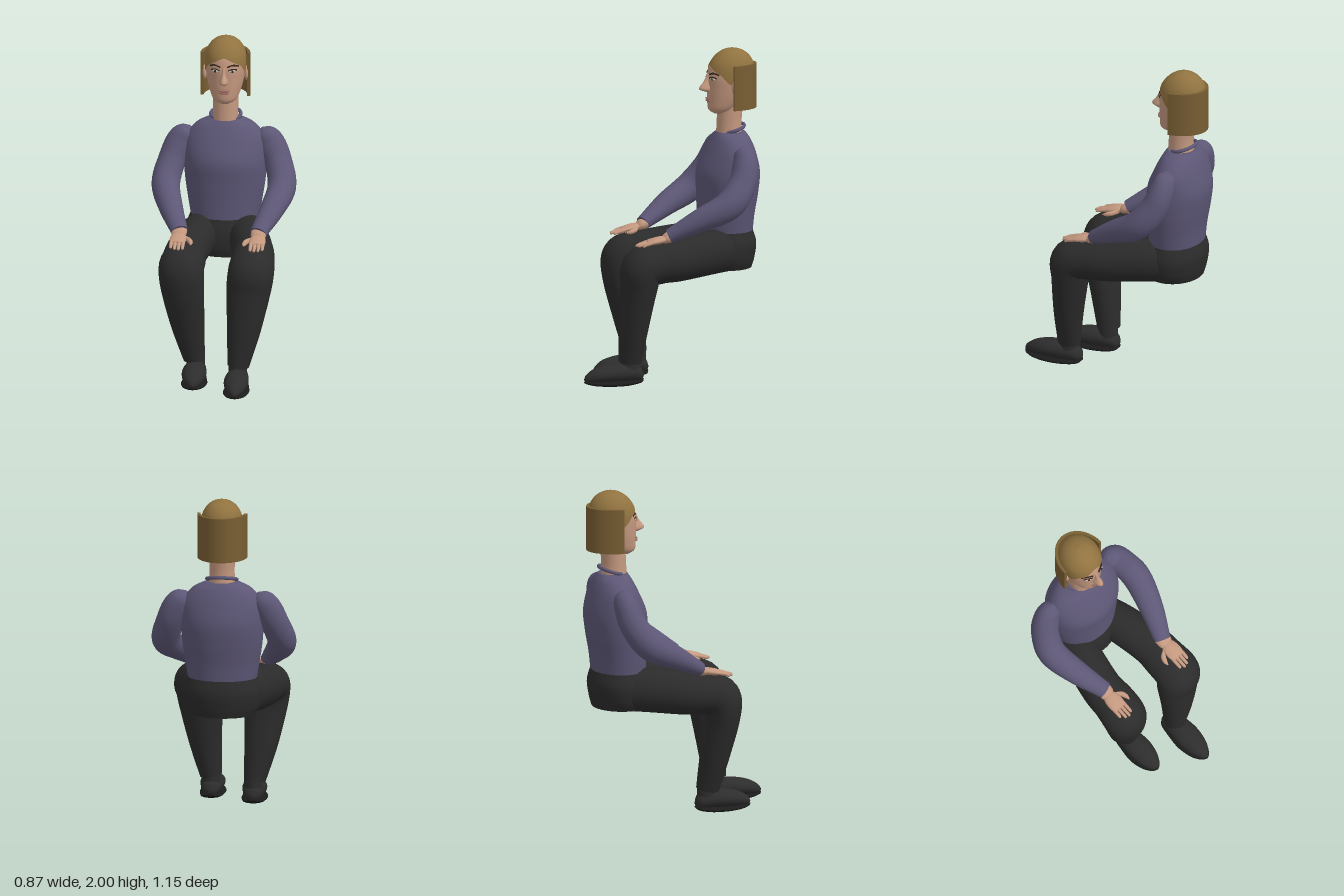
import * as THREE from 'three';

const mat = (name, color, side = THREE.FrontSide) => {
  const m = new THREE.MeshStandardMaterial({ color, side });
  m.name = name;
  return m;
};
const M = {
  skin: mat('skin', 0xc4987f),
  sweater: mat('sweater', 0x5d5776),
  trousers: mat('trousers', 0x2b2b2b),
  shoe: mat('shoe', 0x2d2d2d),
  sole: mat('sole', 0x1c1c1c),
  hair: mat('hair', 0x917340, THREE.DoubleSide),
  backHair: mat('back hair', 0x785e33),
  lips: mat('lips', 0x96665a),
  eyeWhite: mat('eye white', 0xc9c2ba),
  dark: mat('brow and iris', 0x33271d),
};

// smooth curves through rows of [x, y, z, radiusA, radiusB]
const curves = (rows) => [
  new THREE.CatmullRomCurve3(rows.map((r) => new THREE.Vector3(r[0], r[1], r[2])), false, 'catmullrom', 0.5),
  new THREE.CatmullRomCurve3(rows.map((r) => new THREE.Vector3(r[3], r[4], 0)), false, 'catmullrom', 0.5),
];

// closed loft of elliptical rings; axis fixes the ring plane, otherwise rings follow the path
function loft(rows, axis = null, sides = 32, steps = 6) {
  const [path, radii] = curves(rows);
  const count = (rows.length - 1) * steps;
  const pos = [], idx = [];
  for (let i = 0; i <= count; i++) {
    const t = i / count;
    const c = path.getPoint(t), r = radii.getPoint(t);
    const T = axis ? axis.clone() : path.getTangent(t);
    const A = new THREE.Vector3(1, 0, 0).addScaledVector(T, -T.x).normalize();
    const B = new THREE.Vector3().crossVectors(T, A);
    for (let j = 0; j < sides; j++) {
      const a = (j / sides) * Math.PI * 2;
      const p = c.clone()
        .addScaledVector(A, Math.max(r.x, 0.001) * Math.cos(a))
        .addScaledVector(B, Math.max(r.y, 0.001) * Math.sin(a));
      pos.push(p.x, p.y, p.z);
      if (i < count) {
        const k = (j + 1) % sides, o = i * sides, n = o + sides;
        idx.push(o + j, o + k, n + j, o + k, n + k, n + j);
      }
    }
  }
  // flat end caps with their own vertices
  for (const end of [0, 1]) {
    const base = pos.length / 3, o = end * count * sides * 3;
    for (let j = 0; j < sides * 3; j++) pos.push(pos[o + j]);
    const c = path.getPoint(end);
    pos.push(c.x, c.y, c.z);
    for (let j = 0; j < sides; j++) {
      const k = (j + 1) % sides;
      idx.push(base + sides, base + (end ? j : k), base + (end ? k : j));
    }
  }
  return build(pos, idx);
}

function build(pos, idx) {
  const g = new THREE.BufferGeometry();
  g.setAttribute('position', new THREE.Float32BufferAttribute(pos, 3));
  g.setIndex(idx);
  g.computeVertexNormals();
  return g;
}

const X = new THREE.Vector3(1, 0, 0), Y = new THREE.Vector3(0, 1, 0), Z = new THREE.Vector3(0, 0, 1);
const mirror = (rows, s) => rows.map(([x, ...rest]) => [x * s, ...rest]);
// level row given as [height, half width, front z, back z]
const level = ([y, rx, f, b]) => [0, y, (f + b) / 2, rx, (f - b) / 2];

const HEAD = [
  [1.603, 0.03, -0.3, -0.37], [1.63, 0.072, -0.265, -0.43], [1.69, 0.098, -0.26, -0.5],
  [1.76, 0.114, -0.26, -0.535], [1.83, 0.12, -0.26, -0.545], [1.9, 0.114, -0.278, -0.54],
  [1.95, 0.088, -0.315, -0.512], [1.98, 0.05, -0.36, -0.467], [1.992, 0.001, -0.41, -0.412],
].map(level);
const [headPath, headRadii] = curves(HEAD);

// head cross-section at a height
function headAt(y) {
  let lo = 0, hi = 1;
  for (let i = 0; i < 24; i++) {
    const m = (lo + hi) / 2;
    if (headPath.getPoint(m).y < y) lo = m; else hi = m;
  }
  const r = headRadii.getPoint(lo);
  return { z: headPath.getPoint(lo).z, rx: Math.max(r.x, 0.001), rz: Math.max(r.y, 0.001) };
}
const faceZ = (x, y) => {
  const h = headAt(y);
  return h.z + h.rz * Math.sqrt(1 - (x / h.rx) ** 2);
};

// hair cap with a peaked hairline over the forehead
function capGeometry(sides = 64, rows = 20) {
  const pos = [], idx = [];
  for (let j = 0; j < sides; j++) {
    const a = (j / sides) * Math.PI * 2, s = Math.abs(Math.sin(a)), c = Math.cos(a);
    const edge = c > 0 ? 1.9 - 0.075 * s ** 1.3 - 0.045 * Math.max(0, s - 0.8) / 0.2 : 1.78 + 0.1 * c;
    for (let i = 0; i <= rows; i++) {
      const y = edge + (1.992 - edge) * Math.sin((i / rows) * Math.PI / 2);
      const h = headAt(y);
      pos.push(Math.sin(a) * h.rx * 1.045, y + 0.008 * (i / rows), h.z + c * h.rz * 1.035);
      if (i < rows) {
        const o = j * (rows + 1) + i, n = ((j + 1) % sides) * (rows + 1) + i;
        idx.push(o, n, n + 1, o, n + 1, o + 1);
      }
    }
  }
  return build(pos, idx);
}

export function createModel() {
  const root = new THREE.Group();
  root.name = 'seatedPerson';
  const add = (name, geometry, material, parent = root) => {
    const m = new THREE.Mesh(geometry, material);
    m.name = name;
    parent.add(m);
    return m;
  };
  const blob = (name, material, p, r) => {
    const m = add(name, new THREE.SphereGeometry(1, 20, 14), material);
    m.position.set(...p);
    m.scale.set(...r);
    return m;
  };

  // torso and pelvis
  add('sweaterBody', loft([
    [0.895, 0.208, -0.205, -0.53], [1.0, 0.225, -0.205, -0.54], [1.12, 0.243, -0.203, -0.56],
    [1.25, 0.25, -0.202, -0.572], [1.37, 0.237, -0.25, -0.545], [1.45, 0.18, -0.29, -0.515],
    [1.49, 0.1, -0.315, -0.49],
  ].map(level), Y, 48), M.sweater);
  add('pelvis', loft([
    [0.67, 0.195, -0.19, -0.525], [0.73, 0.225, -0.175, -0.54],
    [0.82, 0.235, -0.18, -0.55], [0.905, 0.206, -0.207, -0.528],
  ].map(level), Y, 48), M.trousers);
  const collar = add('collar', new THREE.TorusGeometry(0.09, 0.011, 10, 40), M.sweater);
  collar.position.set(0, 1.507, -0.415);
  collar.rotation.x = Math.PI / 2 + 0.3;
  collar.scale.y = 0.82;

  // neck, head and face
  add('neck', loft([[1.46, 0.078, -0.315, -0.475], [1.55, 0.076, -0.32, -0.47], [1.66, 0.078, -0.325, -0.48]].map(level), Y), M.skin);
  add('head', loft(HEAD, Y, 40), M.skin);
  add('nose', loft([
    [0, 1.845, -0.262, 0.008, 0.008], [0, 1.8, -0.262, 0.013, 0.03],
    [0, 1.758, -0.262, 0.027, 0.06], [0, 1.738, -0.262, 0.02, 0.02],
  ].reverse(), Y, 16, 4), M.skin);
  blob('upperLip', M.lips, [0, 1.697, -0.261], [0.036, 0.006, 0.012]);
  blob('lowerLip', M.lips, [0, 1.684, -0.261], [0.032, 0.007, 0.012]);
  for (const s of [1, -1]) {
    const x = 0.05 * s, z = faceZ(0.05, 1.82);
    blob('eye', M.eyeWhite, [x, 1.82, z], [0.022, 0.009, 0.006]).rotation.y = 0.35 * s;
    blob('iris', M.dark, [x, 1.82, z + 0.003], [0.009, 0.009, 0.005]);
    const line = (dy, bow, x0, x1) => new THREE.CatmullRomCurve3([0, 0.5, 1].map((t) => {
      const px = x0 + (x1 - x0) * t, py = 1.82 + dy + bow * Math.sin(t * Math.PI);
      return new THREE.Vector3(px * s, py, faceZ(px, py) + 0.001);
    }));
    add('eyelid', new THREE.TubeGeometry(line(0.005, 0.007, 0.025, 0.076), 12, 0.004, 6), M.dark);
    add('eyebrow', new THREE.TubeGeometry(line(0.026, 0.01, 0.02, 0.085), 12, 0.005, 6), M.dark);
    blob('ear', M.skin, [0.127 * s, 1.775, -0.393], [0.015, 0.045, 0.026]);
  }

  // hair: cap and a half-round curtain at the back
  add('hairCap', capGeometry(), M.hair);
  const band = new THREE.Shape();
  band.absellipse(0, 0.375, 0.15, 0.187, 0, Math.PI, false);
  band.absellipse(0, 0.375, 0.132, 0.168, Math.PI, 0, true);
  band.closePath();
  const curtain = add('backHair', new THREE.ExtrudeGeometry(band, { depth: 0.27, bevelEnabled: false, curveSegments: 36 }), M.backHair);
  curtain.rotation.x = -Math.PI / 2;
  curtain.position.y = 1.635;

  for (const s of [1, -1]) {
    const side = s > 0 ? 'left' : 'right';

    // sleeve
    add(side + 'Sleeve', loft(mirror([
      [0.215, 1.425, -0.405, 0.012, 0.012], [0.235, 1.395, -0.405, 0.062, 0.058],
      [0.275, 1.33, -0.4, 0.085, 0.074], [0.322, 1.22, -0.365, 0.084, 0.084],
      [0.35, 1.1, -0.27, 0.086, 0.088], [0.305, 1.01, -0.1, 0.073, 0.07], [0.238, 0.915, 0.07, 0.051, 0.042],
    ], s)), M.sweater);

    // hand resting on the thigh
    const hand = new THREE.Group();
    hand.name = side + 'Hand';
    root.add(hand);
    add('wrist', loft(mirror([[0.238, 0.915, 0.05, 0.046, 0.037], [0.24, 0.905, 0.09, 0.046, 0.032], [0.24, 0.897, 0.11, 0.036, 0.022]], s), Z, 20), M.skin, hand);
    add('palm', loft(mirror([
      [0.24, 0.9, 0.09, 0.032, 0.018], [0.24, 0.895, 0.13, 0.047, 0.022],
      [0.24, 0.888, 0.175, 0.05, 0.019], [0.24, 0.882, 0.21, 0.042, 0.012],
    ], s), Z, 24), M.skin, hand);
    [0.252, 0.275, 0.282, 0.268].forEach((tip, i) => {
      const x = 0.24 + (1.5 - i) * 0.024;
      add('finger', loft(mirror([
        [x, 0.885, 0.19, 0.012, 0.012], [x, 0.877, 0.225, 0.011, 0.011],
        [x, 0.867, tip - 0.008, 0.009, 0.008], [x, 0.865, tip, 0.002, 0.002],
      ], s), Z, 12, 4), M.skin, hand);
    });
    add('thumb', loft(mirror([
      [0.21, 0.89, 0.115, 0.014, 0.014], [0.178, 0.885, 0.14, 0.018, 0.015],
      [0.162, 0.878, 0.175, 0.014, 0.013], [0.16, 0.873, 0.203, 0.003, 0.003],
    ], s), Z, 14, 4), M.skin, hand);

    // trouser leg: the left shin reaches forward, the right one is tucked back
    const fwd = s > 0;
    const shin = fwd
      ? [[0.208, 0.72, 0.23, 0.139, 0.128], [0.193, 0.6, 0.25, 0.133, 0.11], [0.168, 0.37, 0.272, 0.102, 0.09], [0.135, 0.145, 0.285, 0.066, 0.07]]
      : [[0.215, 0.72, 0.208, 0.137, 0.126], [0.205, 0.6, 0.226, 0.13, 0.105], [0.178, 0.37, 0.188, 0.102, 0.09], [0.142, 0.145, 0.152, 0.066, 0.07]];
    add(side + 'TrouserLeg', loft(mirror([
      [0.115, 0.79, -0.36, 0.11, 0.13], [0.16, 0.783, -0.2, 0.12, 0.134],
      [0.202, 0.76, 0, 0.125, 0.13], [0.207, 0.748, 0.12, 0.132, 0.125], ...shin,
    ], s), null, 36, 8), M.trousers);

    // shoe
    const z0 = fwd ? 0.2 : 0.077, len = fwd ? 0.375 : 0.346, fx = 0.133;
    const along = (rows) => mirror(rows.map(([t, y, rx, ry]) => [fx, y, z0 + t * len, rx, ry]), s);
    add(side + 'Shoe', loft(along([
      [0, 0.06, 0.012, 0.012], [0.07, 0.07, 0.05, 0.045], [0.28, 0.08, 0.066, 0.056],
      [0.55, 0.08, 0.074, 0.056], [0.8, 0.07, 0.059, 0.045], [0.95, 0.056, 0.028, 0.026], [1, 0.05, 0.004, 0.006],
    ]), Z, 28), M.shoe);
    add(side + 'Sole', loft(along([
      [0, 0.036, 0.012, 0.004], [0.07, 0.028, 0.053, 0.014], [0.28, 0.02, 0.069, 0.019],
      [0.55, 0.02, 0.079, 0.019], [0.8, 0.024, 0.063, 0.016], [0.95, 0.03, 0.032, 0.01], [1, 0.034, 0.006, 0.004],
    ]), Z, 28), M.sole);
    const az = fwd ? 0.285 : 0.152;
    add(side + 'Ankle', loft(mirror([[fx, 0.1, az, 0.056, 0.06], [fx, 0.16, az, 0.056, 0.06]], s), Y, 24), M.shoe);
  }
  return root;
}
